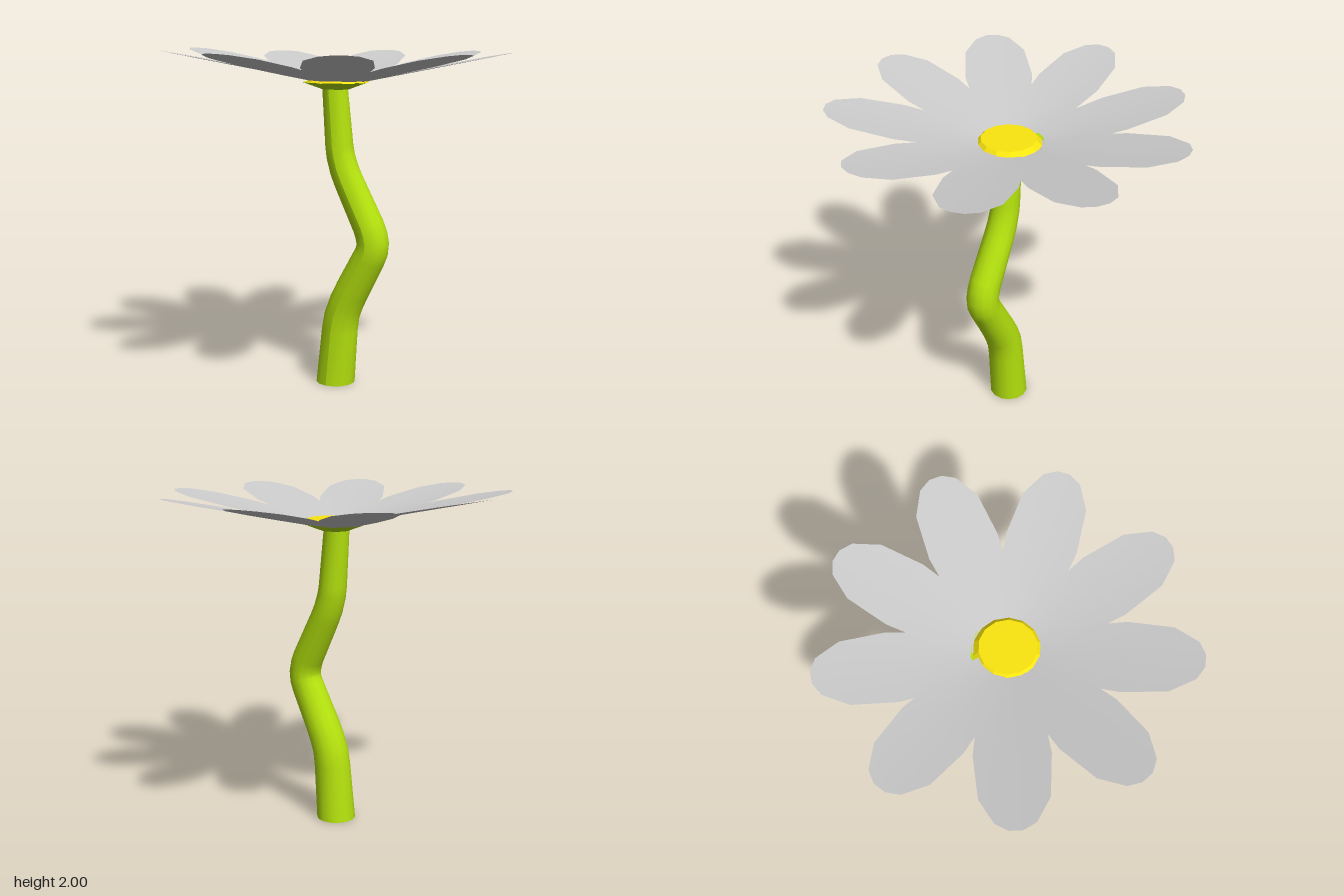
import * as THREE from 'three';

const mat = (color, extra = {}) => new THREE.MeshStandardMaterial({ color, ...extra });
const CENTRE = { x: 0.022, z: -0.015 };

// Moves every vertex of a geometry by a rule
function reshape(geometry, rule) {
  const p = geometry.attributes.position;
  const v = new THREE.Vector3();
  for (let i = 0; i < p.count; i++) {
    rule(v.fromBufferAttribute(p, i));
    p.setXYZ(i, v.x, v.y, v.z);
  }
  geometry.computeBoundingSphere();
  return geometry;
}

// Crooked tapering stem: centre x, height and lean of each ring
function stemGeometry() {
  const rings = [
    [0.025, 0, 0], [0.055, 0.33, 0.1], [0.07, 0.42, 0.25], [0.1, 0.5, 0.42], [0.14, 0.58, 0.5],
    [0.255, 0.79, 0.5], [0.275, 0.835, 0.3], [0.28, 0.88, 0], [0.27, 0.93, -0.3], [0.25, 0.98, -0.5],
    [0.115, 1.235, -0.48], [0.085, 1.3, -0.38], [0.06, 1.38, -0.2], [0.05, 1.44, -0.08], [0.02, 1.78, 0],
  ];
  const n = rings.length - 1;
  const g = reshape(new THREE.CylinderGeometry(1, 1, 1, 14, n), (v) => {
    const [cx, cy, lean] = rings[Math.round((v.y + 0.5) * n)];
    const r = 0.117 - 0.0235 * cy;
    v.set(cx + r * v.x * Math.cos(lean), cy - r * v.x * Math.sin(lean), -0.008 + r * v.z);
  });
  g.computeVertexNormals();
  return g;
}

// Petal pointing along -z, rising like part of a shallow cone
function petalGeometry() {
  // distance from the flower's centre and half width, tip first
  const rows = [
    [1.018, 0.035], [0.98, 0.103], [0.85, 0.178], [0.61, 0.198],
    [0.493, 0.182], [0.364, 0.163], [0.147, 0.095], [0.06, 0.05],
  ];
  const n = rows.length - 1;
  const g = reshape(new THREE.PlaneGeometry(2, 1, 6, n), (v) => {
    const [u, w] = rows[Math.round((0.5 - v.y) * n)];
    const x = v.x * w;
    v.set(x, 0.2 * Math.hypot(x, u), -u);
  });
  g.computeVertexNormals();
  return g;
}

export function createModel() {
  const group = new THREE.Group();
  const green = mat(0xb4e20e);
  const flatGreen = mat(0xb4e20e, { flatShading: true, side: THREE.DoubleSide });
  const yellow = mat(0xfae610, { flatShading: true });
  const petalMat = mat(0xcccccc, { side: THREE.DoubleSide });

  const add = (name, geometry, material, x, y, z) => {
    const mesh = new THREE.Mesh(geometry, material);
    mesh.name = name;
    mesh.position.set(x, y, z);
    group.add(mesh);
    return mesh;
  };

  add('stem', stemGeometry(), green, 0, 0, 0);

  // Green cup under the flower
  add('calyx', new THREE.CylinderGeometry(0.195, 0.08, 0.042, 14, 1, true), flatGreen, CENTRE.x, 1.791, CENTRE.z);

  // Yellow bevelled disc
  add('flowerCentre', new THREE.CylinderGeometry(0.157, 0.187, 0.03, 14), yellow, CENTRE.x + 0.008, 1.824, CENTRE.z);

  // Nine petals, each lying slightly above the one before
  const petal = petalGeometry();
  for (let k = 0; k < 9; k++) {
    const angle = THREE.MathUtils.degToRad(217.5 + 40 * k);
    const mesh = add(`petal${k + 1}`, petal, petalMat, CENTRE.x, 1.77 + 0.0033 * k, CENTRE.z);
    mesh.rotation.y = -Math.PI / 2 - angle;
  }
  return group;
}
